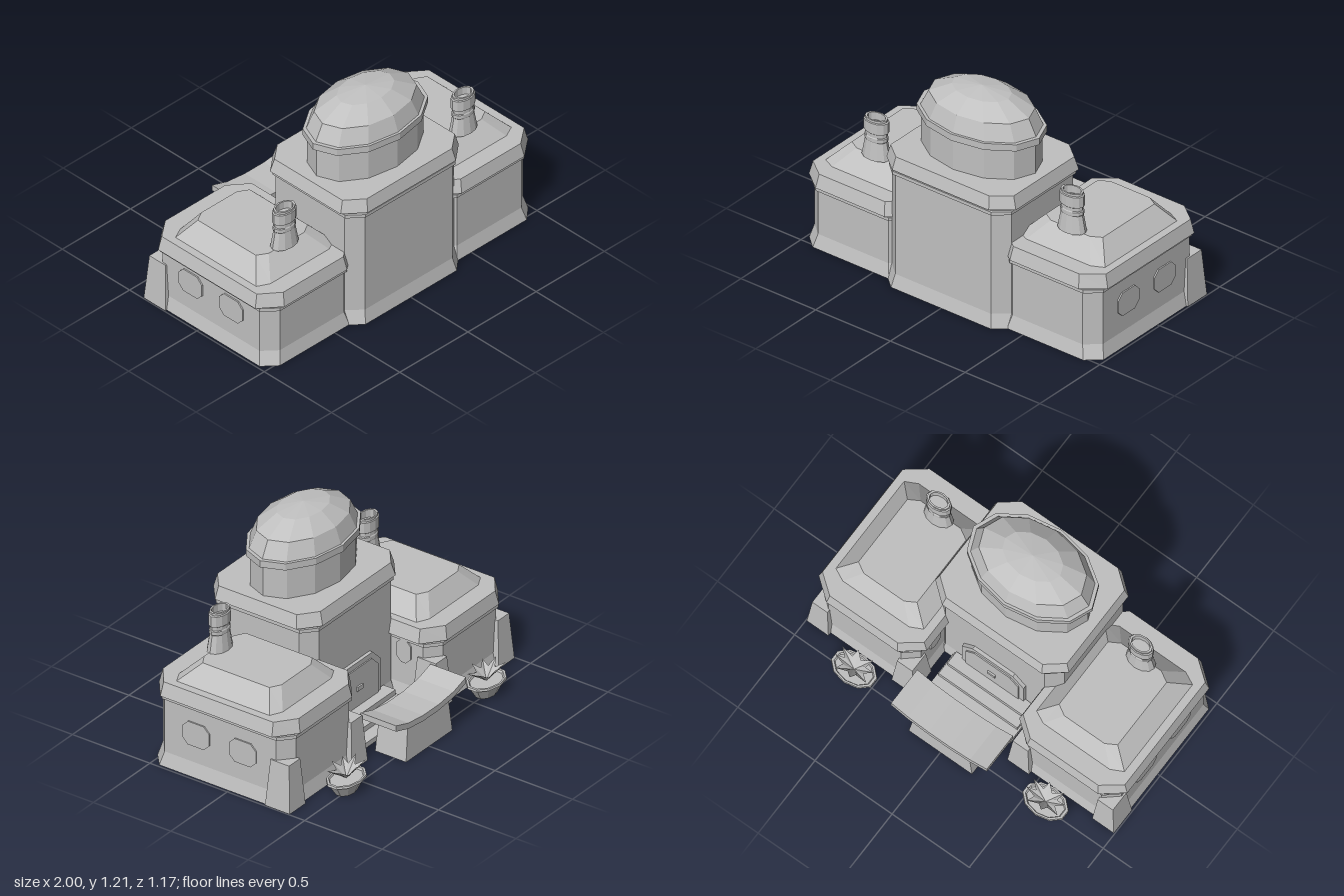
import * as THREE from 'three';

const stone = new THREE.MeshStandardMaterial({ color: 0xc0c0c0, flatShading: true, side: THREE.DoubleSide });
stone.name = 'pale grey stone';

function add(parent, name, geo, x = 0, y = 0, z = 0) {
  const m = new THREE.Mesh(geo, stone);
  m.name = name;
  m.position.set(x, y, z);
  parent.add(m);
  return m;
}

// Chamfered rectangle rings [y, halfX, zBack, zFront, cutX, cutZ], joined from bottom to top
function loft(rings, capped = true) {
  const loops = rings.map(([y, h, b, f, cx = 0.08, cz = 0.07]) => [
    [h, b + cz], [h, f - cz], [h - cx, f], [cx - h, f],
    [-h, f - cz], [-h, b + cz], [cx - h, b], [h - cx, b],
  ].map(([x, z]) => [x, y, z]));
  const pos = [];
  const tri = (a, b, c) => pos.push(...a, ...b, ...c);
  for (let i = 0; i + 1 < loops.length; i++) {
    for (let j = 0; j < 8; j++) {
      const k = (j + 1) % 8, p = loops[i], q = loops[i + 1];
      tri(p[j], q[j], q[k]);
      tri(p[j], q[k], p[k]);
    }
  }
  const lo = loops[0], hi = loops[loops.length - 1];
  for (let j = 1; capped && j < 7; j++) {
    tri(lo[0], lo[j], lo[j + 1]);
    tri(hi[0], hi[j + 1], hi[j]);
  }
  const g = new THREE.BufferGeometry();
  g.setAttribute('position', new THREE.Float32BufferAttribute(pos, 3));
  g.computeVertexNormals();
  return g;
}

// Turned shape squashed to an ellipse
function turned(points, sides, depth) {
  const g = new THREE.LatheGeometry(points.map(([r, y]) => new THREE.Vector2(r, y)), sides);
  return g.scale(1, 1, depth);
}

// Hollow block, open below, with its top narrower than its foot
function taperedBlock(w, h, d, topX, topZ) {
  const g = new THREE.BoxGeometry(w, h, d).translate(0, h / 2, 0);
  const p = g.attributes.position;
  for (let i = 0; i < p.count; i++) {
    if (p.getY(i) > h / 2) p.setXYZ(i, p.getX(i) * topX, h, p.getZ(i) * topZ);
  }
  g.setIndex([...g.index.array].filter((_, i) => i < 18 || i >= 24));
  g.clearGroups();
  g.computeVertexNormals();
  return g;
}

// Plate with four cut corners, facing +z
function plate(w, h, cut, depth) {
  const a = w / 2, b = h / 2;
  const s = new THREE.Shape([
    [-a + cut, -b], [a - cut, -b], [a, -b + cut], [a, b - cut],
    [a - cut, b], [-a + cut, b], [-a, b - cut], [-a, -b + cut],
  ].map(([x, y]) => new THREE.Vector2(x, y)));
  return new THREE.ExtrudeGeometry(s, { depth, bevelEnabled: false });
}

function wing(side, drop) {
  const g = new THREE.Group();
  g.name = side > 0 ? 'leftWing' : 'rightWing';
  const t = -drop;
  add(g, 'wingPlinth', loft([[0, 0.335, -0.38, 0.52], [0.08, 0.315, -0.36, 0.5]], false));
  add(g, 'wingWalls', loft([
    [0.08, 0.315, -0.36, 0.5], [0.4 + t, 0.315, -0.36, 0.5],
    [0.4 + t, 0.325, -0.37, 0.51], [0.42 + t, 0.325, -0.37, 0.51],
    [0.42 + t, 0.315, -0.36, 0.5], [0.435 + t, 0.315, -0.36, 0.5],
  ]));
  add(g, 'wingRoof', loft([
    [0.43 + t, 0.35, -0.383, 0.528, 0.12, 0.095], [0.51 + t, 0.33, -0.367, 0.51, 0.11, 0.085],
    [0.51 + t, 0.285, -0.26, 0.41, 0.07, 0.035], [0.61 + t, 0.19, -0.19, 0.31, 0.06, 0.035],
  ]));
  add(g, 'chimney', turned([
    [0, 0.607], [0.088, 0.607], [0.068, 0.71], [0.072, 0.715], [0.072, 0.735], [0.067, 0.74],
    [0.067, 0.76], [0.076, 0.765], [0.076, 0.828], [0.068, 0.832], [0.068, 0.845], [0.055, 0.845], [0.055, 0.8], [0, 0.8],
  ], 12, 0.66), 0.005 * side, t, 0.3);

  // Windows on the outer wall and the inner wall
  for (const z of [0.224, -0.078]) {
    add(g, 'sideWindow', plate(0.173, 0.14, 0.035, 0.008), side * 0.315, 0.25, z).rotation.y = side * Math.PI / 2;
  }
  add(g, 'innerWindow', plate(0.09, 0.14, 0.03, 0.008), -side * 0.315, 0.28, -0.17).rotation.y = -side * Math.PI / 2;

  // Sloped buttresses at the rear corners
  for (const s of [-1, 1]) {
    add(g, 'buttress', taperedBlock(0.14, 0.275, 0.16, 0.7, 0.75), s * 0.275, 0, -0.32);
  }
  g.position.x = side * 0.65;
  return g;
}

function planter(side) {
  const g = new THREE.Group();
  g.name = 'planter';
  add(g, 'pot', turned([[0, 0], [0.05, 0], [0.083, 0.072], [0.092, 0.074], [0.09, 0.086], [0.08, 0.086], [0.075, 0.075], [0, 0.075]], 10, 1));
  // Pointed folded leaves fanned around the centre
  for (let i = 0; i < 8; i++) {
    const leaf = new THREE.BufferGeometry();
    const r = i % 2 ? 0.088 : 0.078, h = i % 2 ? 0.15 : 0.165;
    leaf.setAttribute('position', new THREE.Float32BufferAttribute([
      0, 0.075, 0, 0.035, 0.125, 0.02, r, h, 0, 0, 0.075, 0, r, h, 0, 0.035, 0.125, -0.02,
    ], 3));
    leaf.computeVertexNormals();
    add(g, 'leaf', leaf).rotation.y = (i + 0.3) * Math.PI / 4;
  }
  g.scale.x = 1.48;
  g.position.set(side * 0.62, 0, -0.492);
  return g;
}

function counter() {
  const g = new THREE.Group();
  g.name = 'counter';
  // Sagging top slab
  const top = [[-0.31, 0.275], [-0.2, 0.24], [-0.07, 0.225], [0.07, 0.225], [0.2, 0.24], [0.31, 0.275]];
  const under = top.map(([x, y]) => [x, y - 0.035]).reverse();
  const s = new THREE.Shape([...top, ...under].map(([x, y]) => new THREE.Vector2(x, y)));
  add(g, 'counterTop', new THREE.ExtrudeGeometry(s, { depth: 0.23, bevelEnabled: false }), 0, 0, -0.587);
  add(g, 'counterBase', taperedBlock(0.41, 0.2, 0.2, 0.88, 0.92), 0, 0, -0.475);
  return g;
}

export function createModel() {
  const model = new THREE.Group();
  model.name = 'domedHall';

  // Central tower
  add(model, 'towerPlinth', loft([[0, 0.415, -0.11, 0.578], [0.08, 0.4, -0.095, 0.56]], false));
  add(model, 'towerWalls', loft([
    [0.08, 0.4, -0.095, 0.56], [0.69, 0.4, -0.095, 0.56],
    [0.69, 0.41, -0.105, 0.572], [0.71, 0.41, -0.105, 0.572],
    [0.71, 0.4, -0.095, 0.56], [0.73, 0.4, -0.095, 0.56],
  ]));
  add(model, 'towerRoof', loft([
    [0.725, 0.433, -0.122, 0.583, 0.11, 0.09], [0.8, 0.412, -0.1, 0.565, 0.1, 0.08],
  ]));
  add(model, 'drum', turned([[0.358, 0.79], [0.358, 0.99]], 12, 0.665), 0, 0, 0.238);
  add(model, 'drumRing', turned([[0.35, 0.985], [0.385, 0.985], [0.385, 1.025], [0.36, 1.025]], 12, 0.665), 0, 0, 0.238);
  add(model, 'dome', turned([[0.366, 1.02], [0.315, 1.118], [0.178, 1.185], [0, 1.205]], 12, 0.665), 0, 0, 0.238);

  // Rear entrance with steps
  add(model, 'doorFrame', plate(0.4, 0.35, 0.07, 0.02), 0, 0.175, -0.115);
  add(model, 'doorPanel', plate(0.34, 0.29, 0.055, 0.008), 0, 0.175, -0.122);
  add(model, 'doorHandle', new THREE.BoxGeometry(0.05, 0.025, 0.012), 0, 0.2, -0.126);
  [[0.53, 0.03, -0.32], [0.51, 0.06, -0.245], [0.49, 0.09, -0.18]].forEach(([w, h, back]) => {
    add(model, 'step', new THREE.BoxGeometry(w, h, -0.1 - back), 0, h / 2, (back - 0.1) / 2);
  });

  model.add(wing(1, 0), wing(-1, 0.055), counter(), planter(1), planter(-1));
  return model;
}
